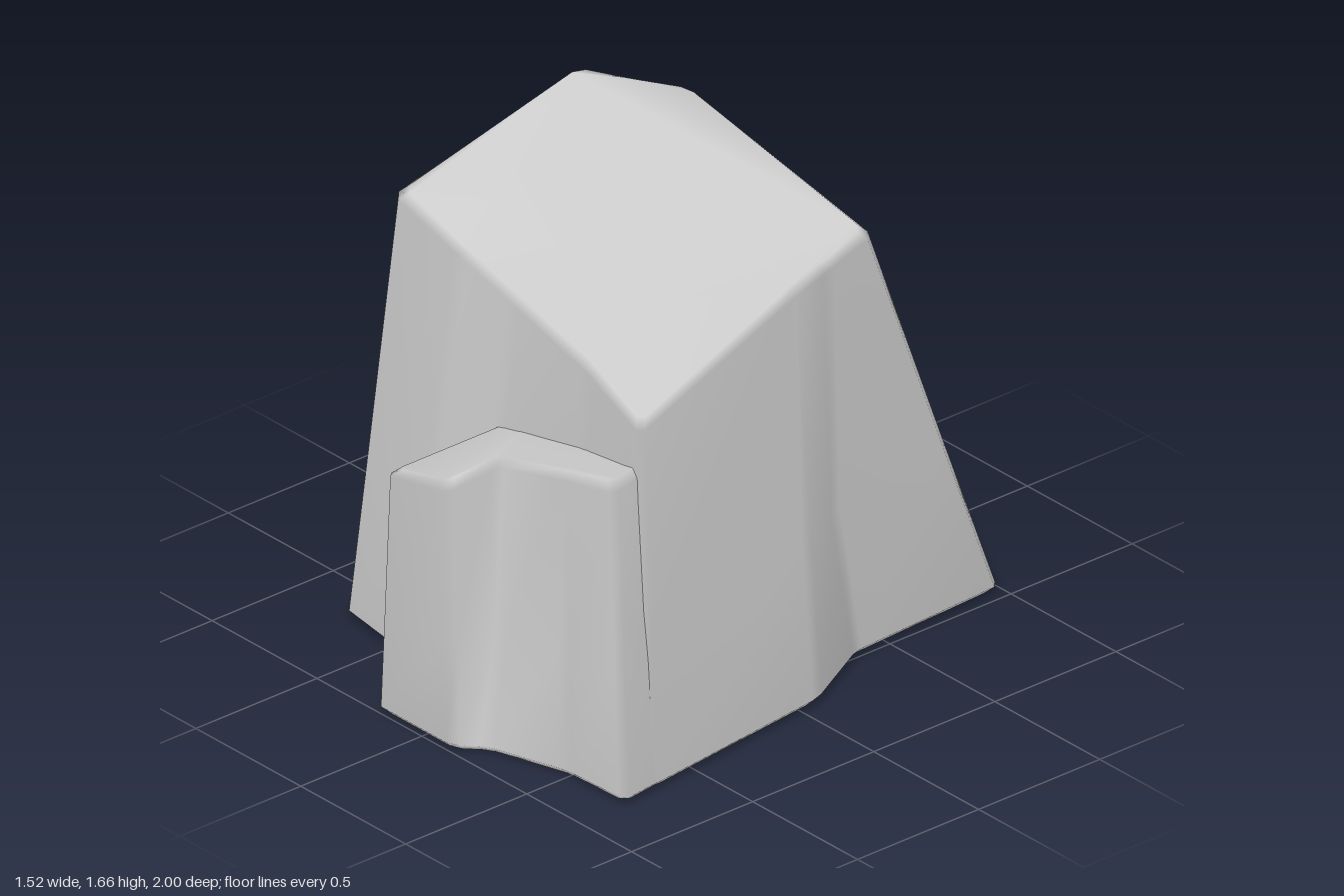
import * as THREE from 'three';

const R = 0.025; // softening of every edge
const V = (p) => new THREE.Vector3(...p);

// Replace each corner of a ring by two points, after moving it inwards by `inset`
function softRing(points, inset, drop) {
  const n = points.length;
  const flat = (a, b) => new THREE.Vector2(b.x - a.x, b.z - a.z).normalize();
  const moved = points.map((p, i) => {
    const d1 = flat(points[(i + n - 1) % n], p), d2 = flat(p, points[(i + 1) % n]);
    const n1 = new THREE.Vector2(d1.y, -d1.x), n2 = new THREE.Vector2(d2.y, -d2.x);
    const k = inset / Math.max(0.5, 1 + n1.dot(n2));
    return new THREE.Vector3(p.x + (n1.x + n2.x) * k, p.y + drop, p.z + (n1.y + n2.y) * k);
  });
  return moved.flatMap((p, i) => [moved[(i + n - 1) % n], moved[(i + 1) % n]].map((q) =>
    p.clone().addScaledVector(q.clone().sub(p).normalize(), Math.min(R, p.distanceTo(q) / 3))));
}

// Skin a stone over upright edges: { b: bottom, t: top, m: middle, c: cap corner }
function stone(name, edges, material) {
  const bottom = edges.map((e) => V(e.b));
  const middle = edges.map((e) => (e.m ? V(e.m) : V(e.b).lerp(V(e.t), 0.4)));
  const top = edges.map((e) => V(e.t));
  const cap = edges.map((e) => V(e.c || e.t));
  const rings = [
    softRing(bottom, R, 0),
    softRing(bottom, 0, R),
    softRing(middle, 0, 0),
    softRing(top, 0, -R),
    softRing(cap, R, 0),
  ];
  const n = rings[0].length, index = [];
  for (let r = 0; r < rings.length - 1; r++) {
    for (let i = 0; i < n; i++) {
      const a = r * n + i, b = r * n + (i + 1) % n;
      index.push(a, b, b + n, a, b + n, a + n);
    }
  }
  // Bottom and top faces
  const fill = (ring) => THREE.ShapeUtils.triangulateShape(
    ring.map((p) => new THREE.Vector2(p.x, -p.z)), []);
  const last = (rings.length - 1) * n;
  fill(rings[0]).forEach(([a, b, c]) => index.push(a, c, b));
  fill(rings[rings.length - 1]).forEach(([a, b, c]) => index.push(last + a, last + b, last + c));

  const geometry = new THREE.BufferGeometry().setFromPoints(rings.flat());
  geometry.setIndex(index);
  geometry.computeVertexNormals();
  const mesh = new THREE.Mesh(geometry, material);
  mesh.name = name;
  return mesh;
}

export function createModel() {
  const group = new THREE.Group();
  group.name = 'rock';
  const material = new THREE.MeshStandardMaterial({ color: 0xcccccc });

  // Large boulder with a sloping top, a chipped back corner and a hollow in its left side
  group.add(stone('boulder', [
    { b: [-0.74, 0, -1], t: [-0.70, 1.42, -0.55], c: [-0.56, 1.635, -0.36] },
    { b: [-0.755, 0, -0.2], t: [-0.70, 1.66, -0.24] },
    { b: [-0.76, 0, 0.66], t: [-0.68, 1.50, 0.53] },
    { b: [-0.4, 0, 0.715], t: [-0.35, 1.42, 0.54] },
    { b: [-0.18, 0, 0.64], t: [-0.08, 1.36, 0.55] },
    { b: [0.3, 0, 0.66], t: [0.3, 1.29, 0.58] },
    { b: [0.75, 0, 0.7], t: [0.635, 1.23, 0.65] },
    { b: [0.655, 0, -0.07], t: [0.49, 1.38, -0.1] },
    { b: [0.5, 0, -0.36], m: [0.5, 0.55, -0.27], t: [0.46, 1.41, -0.28] },
    { b: [0.465, 0, -0.985], t: [0.43, 1.45, -0.49] },
    { b: [-0.45, 0, -1], t: [-0.43, 1.61, -0.49] },
  ], material));

  // Lower ledge in front, with a pillar split off by a groove
  group.add(stone('frontLedge', [
    { b: [-0.19, 0, 0.4], t: [-0.13, 0.91, 0.4] },
    { b: [-0.22, 0, 1], t: [-0.175, 0.88, 1] },
    { b: [0.14, 0, 1], t: [0.125, 0.94, 1] },
    { b: [0.22, 0, 0.92], m: [0.185, 0.37, 0.83], t: [0.115, 0.95, 0.785] },
    { b: [0.5, 0, 0.835], t: [0.4, 1.02, 0.775] },
    { b: [0.765, 0, 0.825], t: [0.65, 1.07, 0.77] },
    { b: [0.7, 0, 0.35], t: [0.56, 1.08, 0.35] },
  ], material));

  return group;
}
